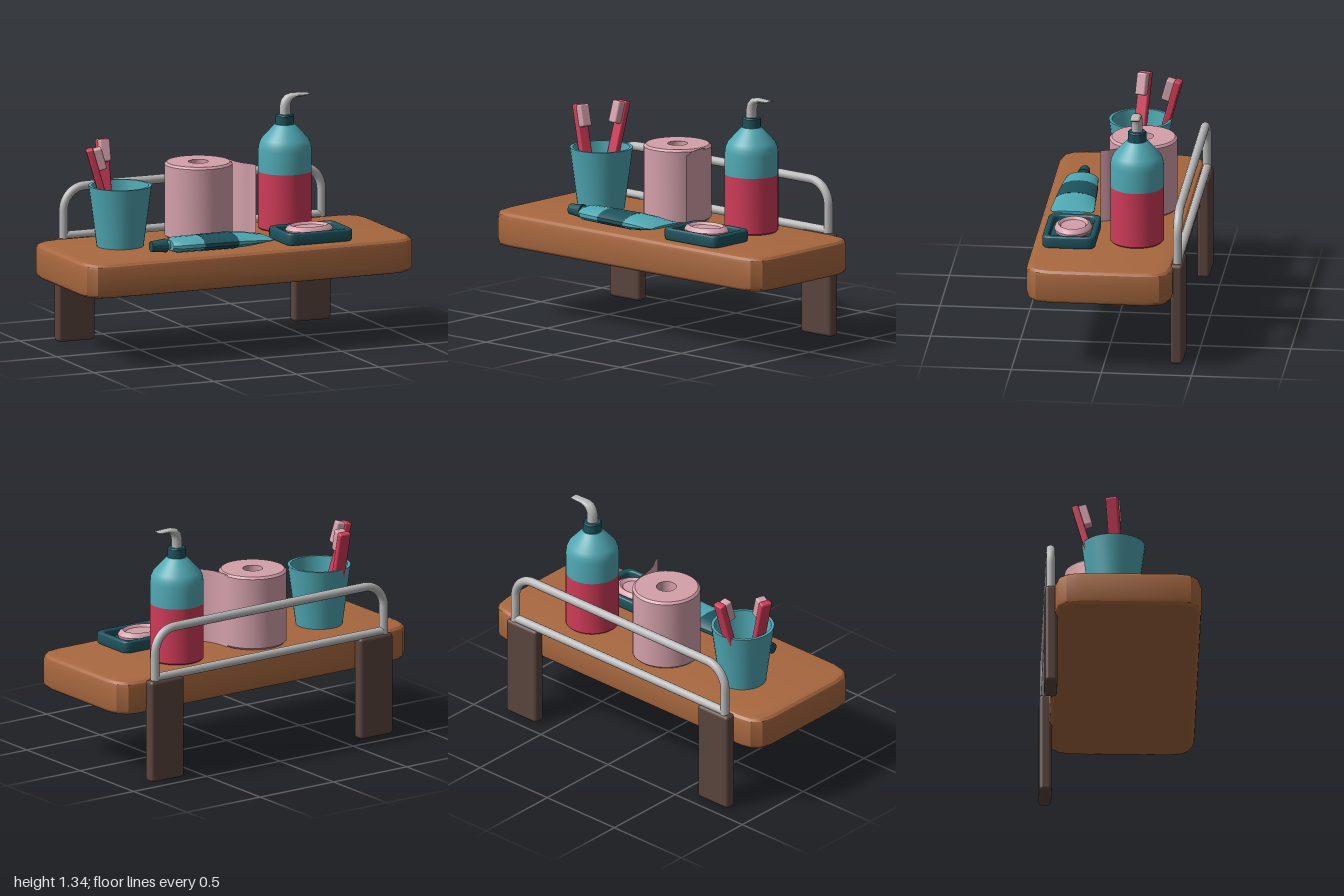
import * as THREE from 'three';
import { toCreasedNormals } from 'three/addons/utils/BufferGeometryUtils.js';
import { RoundedBoxGeometry } from 'three/addons/geometries/RoundedBoxGeometry.js';

const mat = (color, side = THREE.FrontSide) => new THREE.MeshStandardMaterial({ color, side });
const wood = mat(0xa8683f), brown = mat(0x5a443d), steel = mat(0xb9b9b9);
const teal = mat(0x4fa8b3), darkTeal = mat(0x1d525c), red = mat(0xcf3b58);
const pink = mat(0xd4a0aa), paper = mat(0xd4a0aa, THREE.DoubleSide);
const TOP = 0.585; // upper face of the shelf board

function add(parent, name, geometry, material, x = 0, y = 0, z = 0) {
  const mesh = new THREE.Mesh(geometry, material);
  mesh.name = name;
  mesh.position.set(x, y, z);
  parent.add(mesh);
  return mesh;
}

function lathe(points, segments = 32) {
  const profile = points.map(([r, y]) => new THREE.Vector2(r, y));
  return toCreasedNormals(new THREE.LatheGeometry(profile, segments), 0.6);
}

function roundedRect(w, d, r, Type = THREE.Shape) {
  const s = new Type(), x = w / 2, y = d / 2;
  s.moveTo(-x + r, -y);
  s.lineTo(x - r, -y);
  s.quadraticCurveTo(x, -y, x, -y + r);
  s.lineTo(x, y - r);
  s.quadraticCurveTo(x, y, x - r, y);
  s.lineTo(-x + r, y);
  s.quadraticCurveTo(-x, y, -x, y - r);
  s.lineTo(-x, -y + r);
  s.quadraticCurveTo(-x, -y, -x + r, -y);
  return s;
}

// Horizontal slab standing on y = 0 with bevelled edges
function slab(shape, height, bevel, curveSegments) {
  const g = new THREE.ExtrudeGeometry(shape, {
    depth: height - 2 * bevel, bevelThickness: bevel, bevelSize: bevel,
    bevelOffset: -bevel, bevelSegments: 3, curveSegments,
  });
  g.translate(0, 0, bevel).rotateX(-Math.PI / 2);
  return toCreasedNormals(g, 0.5);
}

// Elliptical sections [x, y, heading angle, in-plane radius, z radius], capped
function loft(sections, sides = 14) {
  const pos = [], idx = [], last = (sections.length - 1) * sides;
  for (const [x, y, heading, rn, rz] of sections) {
    for (let j = 0; j < sides; j++) {
      const a = (j / sides) * Math.PI * 2, n = Math.cos(a) * rn;
      pos.push(x - Math.sin(heading) * n, y + Math.cos(heading) * n, Math.sin(a) * rz);
    }
  }
  const c0 = pos.length / 3, end = sections[sections.length - 1];
  pos.push(sections[0][0], sections[0][1], 0, end[0], end[1], 0);
  for (let j = 0; j < sides; j++) {
    const k = (j + 1) % sides;
    for (let i = 0; i < last; i += sides) {
      idx.push(i + j, i + k, i + sides + k, i + j, i + sides + k, i + sides + j);
    }
    idx.push(c0, k, j, c0 + 1, last + j, last + k);
  }
  const g = new THREE.BufferGeometry();
  g.setAttribute('position', new THREE.Float32BufferAttribute(pos, 3));
  g.setIndex(idx);
  return toCreasedNormals(g, 0.6);
}

function group(parent, name, x = 0, y = 0, z = 0) {
  const g = new THREE.Group();
  g.name = name;
  g.position.set(x, y, z);
  parent.add(g);
  return g;
}

// Toothbrush from its foot to its tip, bristles towards `facing`
function toothbrush(parent, foot, tip, facing) {
  const a = new THREE.Vector3(...foot), up = new THREE.Vector3(...tip).sub(a);
  const length = up.length();
  up.normalize();
  const side = new THREE.Vector3().crossVectors(up, new THREE.Vector3(...facing)).normalize();
  const front = new THREE.Vector3().crossVectors(side, up);
  const g = group(parent, 'toothbrush', ...foot);
  g.quaternion.setFromRotationMatrix(new THREE.Matrix4().makeBasis(side, up, front));
  add(g, 'brushHandle', new RoundedBoxGeometry(0.068, length, 0.04, 2, 0.01), red, 0, length / 2, 0);
  add(g, 'bristles', new RoundedBoxGeometry(0.06, 0.125, 0.05, 2, 0.01), pink, 0, length - 0.07, 0.04);
}

export function createModel() {
  const model = new THREE.Group();
  model.name = 'bathroomShelf';

  // Board and wall brackets
  add(model, 'shelfBoard', slab(roundedRect(2, 0.81, 0.14), 0.195, 0.035, 3), wood, 0, 0.39, 0.025);
  for (const s of [-1, 1]) {
    add(model, 'bracket', new RoundedBoxGeometry(0.225, 0.58, 0.07, 3, 0.02), brown, s * 0.713, 0.29, -0.398);
  }

  // Guard rail: rounded hoop and lower bar
  const v = (x, y) => new THREE.Vector3(x, y, -0.4);
  const hoop = new THREE.CurvePath();
  hoop.add(new THREE.LineCurve3(v(-0.78, 0.57), v(-0.78, 0.735)));
  hoop.add(new THREE.CubicBezierCurve3(v(-0.78, 0.735), v(-0.78, 0.807), v(-0.722, 0.865), v(-0.65, 0.865)));
  hoop.add(new THREE.LineCurve3(v(-0.65, 0.865), v(0.65, 0.865)));
  hoop.add(new THREE.CubicBezierCurve3(v(0.65, 0.865), v(0.722, 0.865), v(0.78, 0.807), v(0.78, 0.735)));
  hoop.add(new THREE.LineCurve3(v(0.78, 0.735), v(0.78, 0.57)));
  add(model, 'railHoop', new THREE.TubeGeometry(hoop, 120, 0.025, 14), steel);
  const bar = new THREE.CylinderGeometry(0.024, 0.024, 1.56, 14).rotateZ(Math.PI / 2);
  add(model, 'railLowerBar', bar, steel, 0, 0.592, -0.4);

  // Tumbler with two toothbrushes
  add(model, 'cup', lathe([[0, 0], [0.13, 0], [0.175, 0.34], [0.158, 0.34], [0.12, 0.025], [0, 0.025]]),
    teal, -0.595, TOP, -0.05);
  toothbrush(model, [-0.635, 0.62, -0.02], [-0.777, 1.14, -0.063], [1, 0, 0.3]);
  toothbrush(model, [-0.635, 0.62, -0.115], [-0.613, 1.15, -0.262], [-0.12, 0, 1]);

  // Paper roll with its loose sheet
  const roll = group(model, 'paperRoll', -0.09, TOP, -0.12);
  add(roll, 'roll', lathe([[0.055, 0], [0.175, 0], [0.188, 0.012], [0.188, 0.408], [0.175, 0.42],
    [0.055, 0.42], [0.055, 0]], 40), pink);
  const edge = new THREE.CatmullRomCurve3([[0.187, -0.02], [0.19, 0.05], [0.21, 0.12], [0.24, 0.17], [0.255, 0.212]]
    .map(([x, z]) => new THREE.Vector3(x, 0, z)));
  const sheet = new THREE.PlaneGeometry(1, 0.415, 16, 1), sp = sheet.attributes.position;
  for (let i = 0; i < sp.count; i++) {
    const p = edge.getPoint(sp.getX(i) + 0.5);
    sp.setXYZ(i, p.x, sp.getY(i) + 0.2095, p.z);
  }
  sheet.computeVertexNormals();
  add(roll, 'looseSheet', sheet, paper);

  // Pump bottle
  const bottle = group(model, 'pumpBottle', 0.443, TOP, -0.14);
  add(bottle, 'bottleLower', lathe([[0, 0], [0.14, 0], [0.148, 0.008], [0.148, 0.322]], 40), red);
  add(bottle, 'bottleUpper', lathe([[0.148, 0.322], [0.148, 0.445], [0.144, 0.475], [0.132, 0.502],
    [0.068, 0.572], [0.055, 0.585], [0, 0.585]], 40), teal);
  add(bottle, 'collar', lathe([[0, 0.578], [0.051, 0.578], [0.051, 0.633], [0.046, 0.64], [0, 0.64]]), darkTeal);
  add(bottle, 'pumpSpout', loft([
    [0, 0.63, Math.PI / 2, 0.03, 0.03], [0, 0.685, Math.PI / 2, 0.03, 0.03],
    [0.006, 0.709, 1.2, 0.029, 0.03], [0.02, 0.728, 0.75, 0.025, 0.03],
    [0.042, 0.739, 0.25, 0.017, 0.029], [0.07, 0.742, 0, 0.013, 0.028],
    [0.105, 0.742, -0.05, 0.01, 0.027], [0.137, 0.744, -0.6, 0.006, 0.026],
  ], 18), steel);

  // Squeezed tube lying on its side
  const tube = group(model, 'toothpasteTube', 0, 0.628, 0.253);
  add(tube, 'tubeCap', loft([[-0.545, 0, 0, 0.03, 0.03], [-0.455, 0, 0, 0.039, 0.039]]), darkTeal);
  add(tube, 'tubeNeck', loft([[-0.46, 0, 0, 0.026, 0.026], [-0.42, 0, 0, 0.026, 0.026]]), teal);
  add(tube, 'tubeShoulder', loft([[-0.435, 0, 0, 0.03, 0.065], [-0.4, 0, 0, 0.042, 0.092],
    [-0.26, 0, 0, 0.042, 0.103]]), teal);
  add(tube, 'tubeBand', loft([[-0.26, 0, 0, 0.043, 0.104], [-0.06, 0, 0, 0.043, 0.115]]), darkTeal);
  add(tube, 'tubeTail', loft([[-0.06, 0, 0, 0.042, 0.114], [0.02, 0, 0, 0.036, 0.119],
    [0.12, 0, 0, 0.014, 0.125], [0.152, 0, 0, 0.007, 0.11]]), teal);

  // Soap dish and soap
  const dish = group(model, 'soapDish', 0.435, TOP, 0.223);
  const rim = roundedRect(0.4, 0.295, 0.05);
  rim.holes.push(roundedRect(0.325, 0.225, 0.04, THREE.Path));
  add(dish, 'dishRim', slab(rim, 0.07, 0.015, 5), darkTeal);
  add(dish, 'dishFloor', slab(roundedRect(0.36, 0.26, 0.05), 0.03, 0.004, 5), darkTeal);
  const soap = add(dish, 'soap', lathe([[0, 0.028], [0.11, 0.028], [0.135, 0.045], [0.138, 0.06],
    [0.128, 0.075], [0.108, 0.084], [0.1, 0.08], [0.09, 0.07], [0, 0.066]], 36), pink, -0.005, 0, -0.008);
  soap.scale.z = 0.76;

  return model;
}
